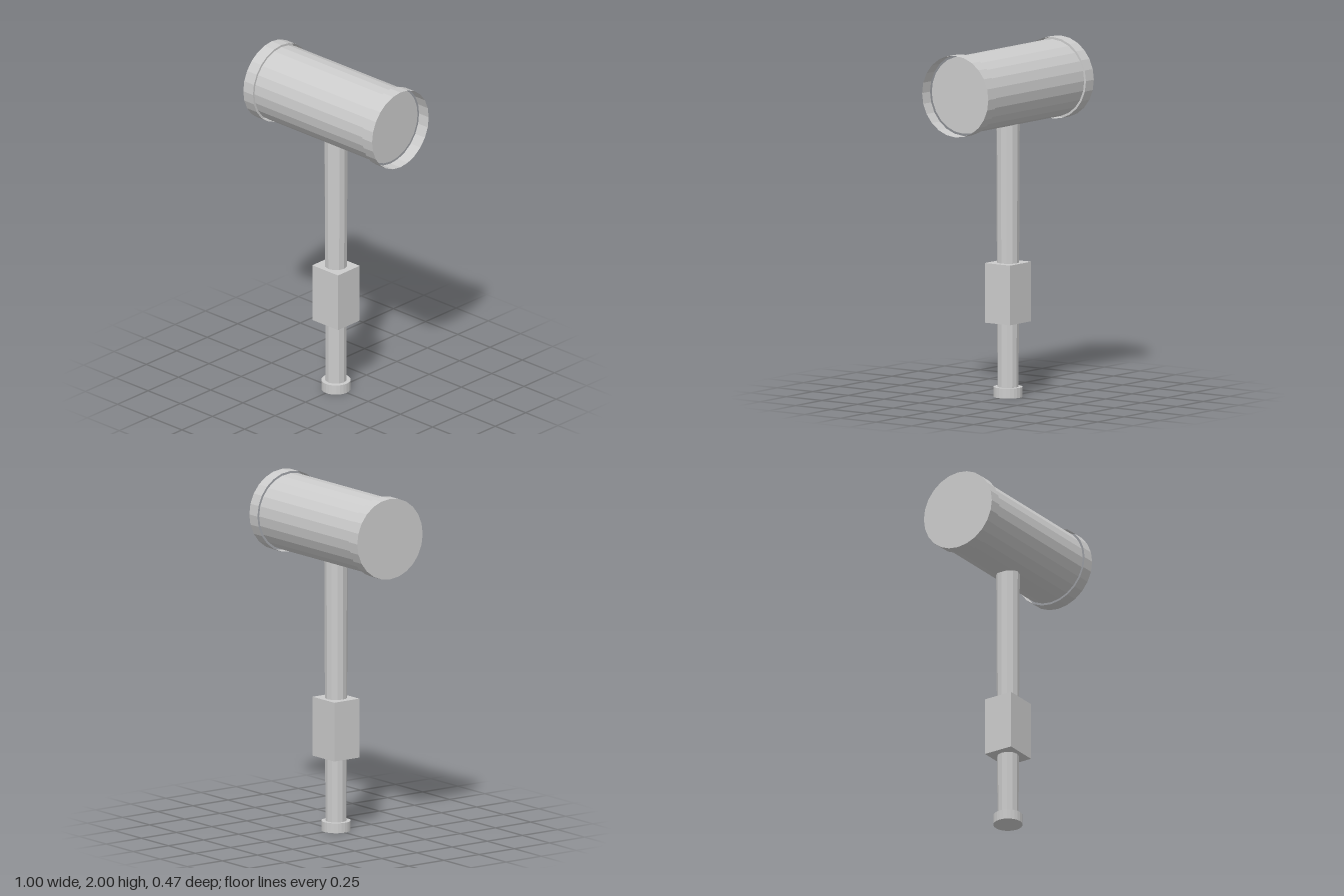
import * as THREE from 'three';

export function createModel() {
  const model = new THREE.Group();
  model.name = 'mallet';

  const grey = new THREE.MeshStandardMaterial({ color: 0xcccccc, flatShading: true, side: THREE.DoubleSide });
  grey.name = 'plain grey';

  const add = (name, geometry, x, y, z = 0) => {
    const mesh = new THREE.Mesh(geometry, grey);
    mesh.name = name;
    mesh.position.set(x, y, z);
    model.add(mesh);
    return mesh;
  };

  // Head barrel lying along x
  const headY = 1.7675;
  const barrel = new THREE.CylinderGeometry(0.22, 0.22, 0.85, 24).rotateZ(Math.PI / 2);
  add('headBarrel', barrel, 0, headY);

  // Loose end bands, open tubes standing slightly off the barrel
  for (const side of [-1, 1]) {
    const band = new THREE.CylinderGeometry(0.2325, 0.2325, 0.075, 24, 1, true).rotateZ(Math.PI / 2);
    add(side > 0 ? 'leftBand' : 'rightBand', band, side * 0.4625, headY);
  }

  // Only the right band is closed; the left one leaves a recess
  const face = new THREE.CircleGeometry(0.2325, 24).rotateY(-Math.PI / 2);
  add('rightStrikingFace', face, -0.5, headY);

  // Tapered handle running up into the head
  add('handle', new THREE.CylinderGeometry(0.067, 0.06, 1.56, 12), 0, 0.8);

  // Square grip block
  add('gripBlock', new THREE.BoxGeometry(0.2, 0.34, 0.178), 0, 0.595);

  // Foot cap
  add('footCap', new THREE.CylinderGeometry(0.083, 0.083, 0.057, 24), 0, 0.0285);

  return model;
}
